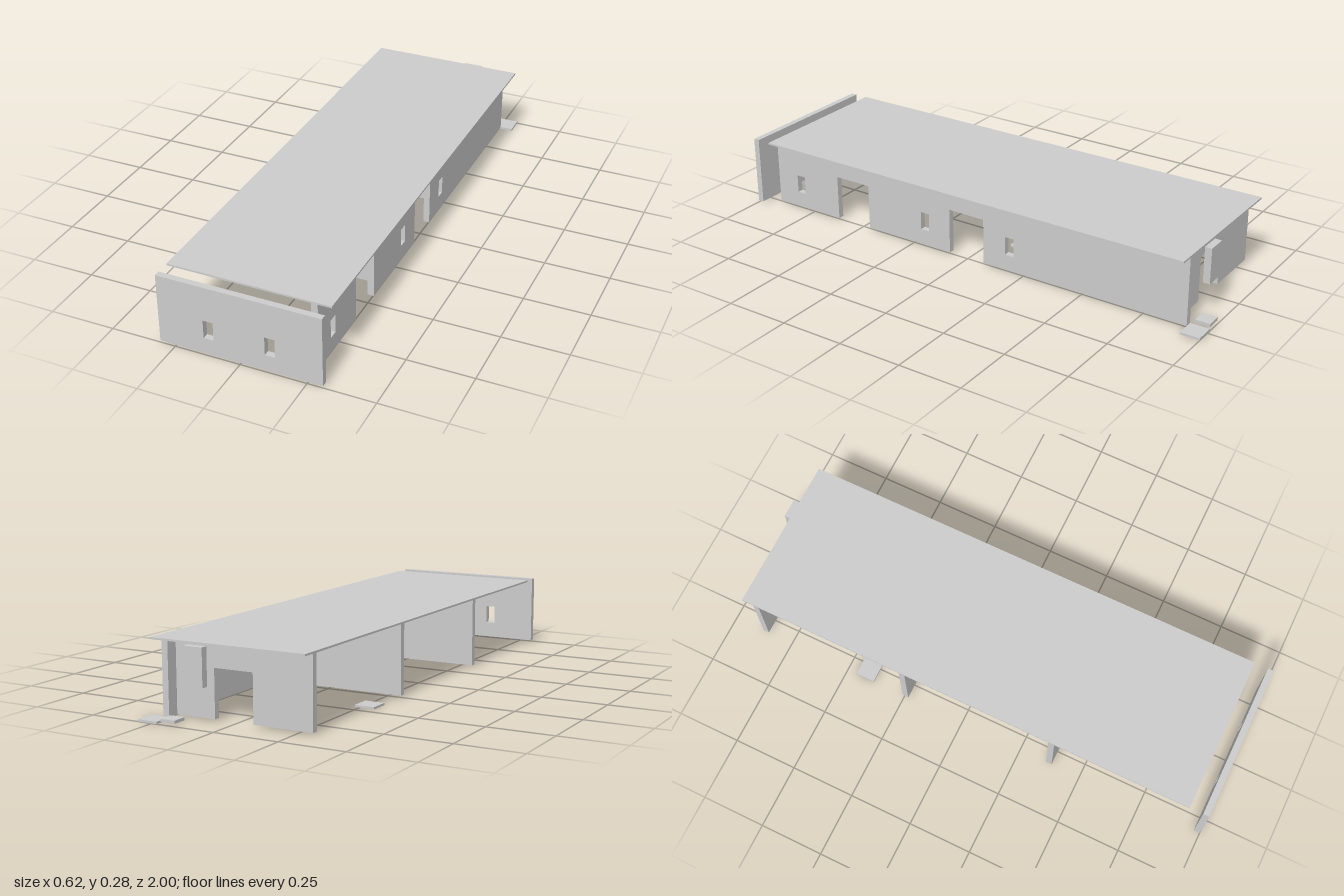
import * as THREE from 'three';

const plaster = new THREE.MeshStandardMaterial({ color: 0xcccccc });
plaster.name = 'light grey plaster';

const T = 0.024;      // wall thickness
const BASE = 0.008;   // underside of walls
const EAVES = 0.271;  // underside of roof
const TOP = 0.278;
const DOOR = 0.186;   // door head height

function addBox(group, name, [x0, x1], [y0, y1], [z0, z1]) {
  const mesh = new THREE.Mesh(new THREE.BoxGeometry(x1 - x0, y1 - y0, z1 - z0), plaster);
  mesh.name = name;
  mesh.position.set((x0 + x1) / 2, (y0 + y1) / 2, (z0 + z1) / 2);
  group.add(mesh);
}

// Upright panel in the xy plane, extruded toward +z; doors cut up from the base, windows are holes
function wallGeometry(u0, u1, top, doors, windows) {
  const shape = new THREE.Shape();
  shape.moveTo(u0, BASE);
  for (const [a, b] of doors) {
    shape.lineTo(a, BASE);
    shape.lineTo(a, DOOR);
    shape.lineTo(b, DOOR);
    shape.lineTo(b, BASE);
  }
  shape.lineTo(u1, BASE);
  shape.lineTo(u1, top);
  shape.lineTo(u0, top);
  shape.closePath();
  for (const c of windows) {
    const hole = new THREE.Path();
    hole.moveTo(c - 0.019, 0.07);
    hole.lineTo(c - 0.019, 0.142);
    hole.lineTo(c + 0.019, 0.142);
    hole.lineTo(c + 0.019, 0.07);
    hole.closePath();
    shape.holes.push(hole);
  }
  return new THREE.ExtrudeGeometry(shape, { depth: T, bevelEnabled: false });
}

function addWall(group, name, geometry, z) {
  const mesh = new THREE.Mesh(geometry, plaster);
  mesh.name = name;
  mesh.position.z = z;
  group.add(mesh);
  return mesh;
}

export function createModel() {
  const model = new THREE.Group();
  model.name = 'classroomBlock';

  // Flat roof
  addBox(model, 'roof', [-0.308, 0.308], [EAVES, TOP], [-0.924, 0.924]);

  // Detached front wall with two windows
  addWall(model, 'frontWall', wallGeometry(-0.308, 0.308, TOP, [], [-0.116, 0.115]), 1 - T);

  // Long side wall: drawn along -z, then turned to face +x
  const side = addWall(model, 'sideWall', wallGeometry(-0.924, 0.924, EAVES,
    [[-0.618, -0.463], [-0.077, 0.077]], [-0.808, -0.192, 0.192]), 0);
  side.rotation.y = Math.PI / 2;
  side.position.x = 0.257 - T;

  // Cross walls; the back one has a doorway
  const inner = 0.257 - T;
  [0.36, -0.257].forEach((z, i) =>
    addWall(model, 'partition' + (i + 1), wallGeometry(-0.308, inner, EAVES, [], []), z));
  addWall(model, 'backWall', wallGeometry(-0.308, inner, EAVES, [[-0.077, 0.077]], []), -0.877);

  // Board hanging behind the back wall
  addBox(model, 'wallBoard', [0.074, 0.15], [0.13, 0.268], [-0.951, -0.924]);

  // Loose floor slabs
  [[-0.27, -0.423], [0.038, -0.116], [0.269, -0.962]].forEach(([x, z], i) =>
    addBox(model, 'floorSlab' + (i + 1), [x - 0.0385, x + 0.0385], [0, BASE], [z - 0.038, z + 0.038]));
  addBox(model, 'smallSlab', [0.16, 0.218], [BASE, 0.019], [-0.994, -0.936]);

  return model;
}
